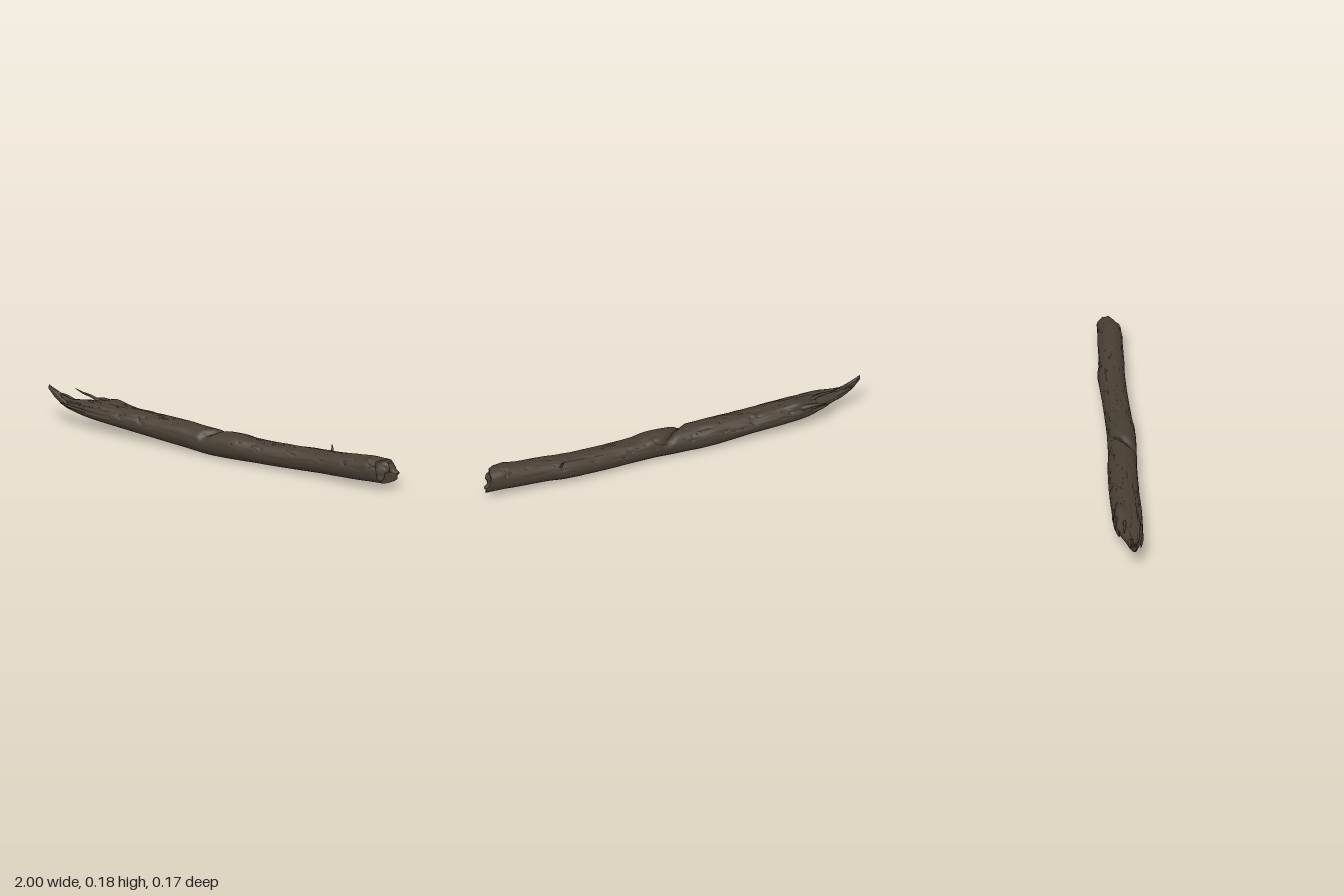
import * as THREE from 'three';

const SIDES = 64, STEPS = 300;
const bark = new THREE.MeshStandardMaterial({ color: 0x483e32 });
bark.name = 'bark brown';
const crack = new THREE.MeshStandardMaterial({ color: 0x2c261f });
crack.name = 'crack brown';
const wood = new THREE.MeshStandardMaterial({ color: 0x4a4034 });
wood.name = 'broken wood brown';

// Trunk stations: x, bottom, top, back, front
const STATIONS = [
  [-1.0, 0.165, 0.188, -0.004, 0.008],
  [-0.96, 0.125, 0.168, -0.012, 0.014],
  [-0.9, 0.092, 0.142, -0.022, 0.026],
  [-0.85, 0.082, 0.138, -0.034, 0.044],
  [-0.78, 0.066, 0.145, -0.056, 0.054],
  [-0.7, 0.055, 0.148, -0.08, 0.06],
  [-0.6, 0.046, 0.15, -0.084, 0.063],
  [-0.4, 0.029, 0.146, -0.08, 0.066],
  [-0.2, 0.014, 0.14, -0.073, 0.07],
  [-0.05, 0.006, 0.133, -0.06, 0.08],
  [0.1, 0.009, 0.139, -0.055, 0.084],
  [0.2, 0.011, 0.128, -0.055, 0.08],
  [0.4, 0.016, 0.131, -0.057, 0.07],
  [0.58, 0.023, 0.14, -0.062, 0.07],
  [0.66, 0.027, 0.146, -0.05, 0.074],
  [0.8, 0.033, 0.157, -0.045, 0.077],
  [0.91, 0.038, 0.166, -0.04, 0.08],
  [1.0, 0.04, 0.162, -0.038, 0.078],
];

const smooth = THREE.MathUtils.smoothstep;
const lerp = THREE.MathUtils.lerp;
const gauss = (d, w) => Math.exp(-(d * d) / (w * w));

function station(x) {
  let k = 0;
  while (k < STATIONS.length - 2 && x > STATIONS[k + 1][0]) k++;
  const at = (n) => STATIONS[Math.max(0, Math.min(STATIONS.length - 1, n))];
  const t = (x - at(k)[0]) / (at(k + 1)[0] - at(k)[0]);
  const span = at(k + 1)[0] - at(k)[0];
  const slope = (n, c) => (at(n + 1)[c] - at(n - 1)[c]) / (at(n + 1)[0] - at(n - 1)[0]);
  return [1, 2, 3, 4].map((c) => {
    const a = at(k)[c], b = at(k + 1)[c];
    const ma = slope(k, c) * span, mb = slope(k + 1, c) * span;
    const t2 = t * t, t3 = t2 * t;
    return (2 * t3 - 3 * t2 + 1) * a + (t3 - 2 * t2 + t) * ma + (3 * t2 - 2 * t3) * b + (t3 - t2) * mb;
  });
}

// Seeded value noise, 0 to 1
function hash(x, y, z) {
  const s = Math.sin(x * 127.1 + y * 311.7 + z * 74.7) * 43758.5453;
  return s - Math.floor(s);
}
function noise(x, y, z) {
  const i = [x, y, z].map(Math.floor);
  const [u, v, w] = [x - i[0], y - i[1], z - i[2]].map((f) => f * f * (3 - 2 * f));
  const edge = (b, c) => lerp(hash(i[0], i[1] + b, i[2] + c), hash(i[0] + 1, i[1] + b, i[2] + c), u);
  return lerp(lerp(edge(0, 0), edge(1, 0), v), lerp(edge(0, 1), edge(1, 1), v), w);
}

// One surface point of the trunk, with the depth of its crack
function trunkPoint(x, a) {
  const [bottom, top, back, front] = station(x);
  const s = Math.sin(a), c = Math.cos(a);
  const ry = (top - bottom) / 2, rz = (front - back) / 2;
  const cy = (top + bottom) / 2, cz = (front + back) / 2;
  const upper = smooth(s, -0.25, 0.45);
  const ragged = 1 - smooth(x, -0.95, -0.25);
  // long grain cracks, mostly on the weathered upper side
  const n = noise(x * 6 + 20, s * 6 + 20, c * 6 + 20);
  const line = Math.pow(1 - Math.abs(2 * n - 1), 14) * upper;
  const fine = noise(x * 14 + 50, s * 9 + 50, c * 9 + 50) - 0.5;
  const lump = noise(x * 5 + 9, s * 1.5 + 9, c * 1.5 + 9) - 0.5;
  let r = 1 + 0.06 * lump + fine * (0.02 + 0.09 * upper * (0.4 + ragged)) - line * (0.08 + 0.12 * ragged);
  // slanted break across the top and the raised bark behind the splintered end
  const notch = gauss(x + 0.02 + 0.06 * c, 0.022) * smooth(s, 0.1, 0.8);
  r -= 0.3 * notch;
  r += 0.38 * gauss(x + 0.65, 0.055) * gauss(a - 2.05, 0.38);
  r += 0.18 * gauss(x + 0.72, 0.07) * gauss(a - 2.7, 0.25);
  const y = Math.max(0, cy + s * ry * r), z = cz + c * rz * r;
  // slanted broken end
  const pull = 0.05 * smooth(z, -0.01, 0.08) + 0.026 * smooth(y, 0.085, 0.13) + 0.02 * (1 - smooth(y, 0.035, 0.06));
  const chip = 0.02 * noise(s * 4 + 5, c * 4 + 5, 3);
  return { p: [x - (pull + chip) * smooth(x, 0.8, 1), y, z], dark: line > 0.72 || notch > 0.85 };
}

function makeGeometry(positions, lists) {
  const g = new THREE.BufferGeometry();
  g.setAttribute('position', new THREE.Float32BufferAttribute(positions, 3));
  g.setIndex(lists.flat());
  let start = 0;
  lists.forEach((list, k) => {
    g.addGroup(start, list.length, k);
    start += list.length;
  });
  g.computeVertexNormals();
  return g;
}

function trunkGeometry() {
  const pos = [], dark = [], plain = [], deep = [];
  for (let i = 0; i <= STEPS; i++) {
    for (let j = 0; j < SIDES; j++) {
      const q = trunkPoint(-1 + (2 * i) / STEPS, (j / SIDES) * Math.PI * 2);
      pos.push(...q.p);
      dark.push(q.dark);
    }
  }
  for (let i = 0; i < STEPS; i++) {
    for (let j = 0; j < SIDES; j++) {
      const a = i * SIDES + j, b = i * SIDES + ((j + 1) % SIDES);
      (dark[a] ? deep : plain).push(a, a + SIDES, b, b, a + SIDES, b + SIDES);
    }
  }
  // close the pointed end
  pos.push(-1, 0.178, 0.002);
  for (let j = 0; j < SIDES; j++) plain.push(pos.length / 3 - 1, j, (j + 1) % SIDES);
  return makeGeometry(pos, [plain, deep]);
}

// Rough face across the broken end
function endGeometry() {
  const pos = [], index = [], rings = 10;
  for (let k = 0; k <= rings; k++) {
    const r = 1 - k / rings;
    for (let j = 0; j < SIDES; j++) {
      const [x, y, z] = trunkPoint(1, (j / SIDES) * Math.PI * 2).p;
      const py = lerp(0.1, y, r), pz = lerp(0.02, z, r);
      const rough = (noise(py * 45, pz * 45 + 30, 7) - 0.5) * 0.03 * smooth(1 - r, 0, 0.3);
      pos.push(lerp(0.962, x, r) + rough, py, pz);
    }
  }
  for (let k = 0; k < rings; k++) {
    for (let j = 0; j < SIDES; j++) {
      const a = k * SIDES + j, b = k * SIDES + ((j + 1) % SIDES);
      index.push(a, b, a + SIDES, b, b + SIDES, a + SIDES);
    }
  }
  for (let i = 0; i < index.length; i += 3) [index[i + 1], index[i + 2]] = [index[i + 2], index[i + 1]];
  return makeGeometry(pos, [index]);
}

// Tapered tube along a few points
function splinterGeometry(points, radius) {
  const curve = new THREE.CatmullRomCurve3(points.map((p) => new THREE.Vector3(...p)));
  const g = new THREE.TubeGeometry(curve, 14, radius, 7, false);
  const pos = g.attributes.position, v = new THREE.Vector3();
  for (let i = 0; i < pos.count; i++) {
    const t = Math.floor(i / 8) / 14;
    const c = curve.getPointAt(t);
    v.fromBufferAttribute(pos, i).sub(c).multiplyScalar(0.05 + 0.95 * Math.pow(1 - t, 0.6)).add(c);
    pos.setXYZ(i, v.x, v.y, v.z);
  }
  g.computeVertexNormals();
  return g;
}

export function createModel() {
  const group = new THREE.Group();
  const add = (name, geometry, material) => {
    const mesh = new THREE.Mesh(geometry, material);
    mesh.name = name;
    group.add(mesh);
  };
  add('trunk', trunkGeometry(), [bark, crack]);
  add('brokenEnd', endGeometry(), wood);
  // torn fibres at the pointed end and a twig stub on the back
  const splinters = [
    ['raisedSplinter', [[-0.72, 0.138, -0.03], [-0.78, 0.158, -0.034], [-0.83, 0.164, -0.04], [-0.88, 0.178, -0.044]], 0.009],
    ['backSplinter', [[-0.66, 0.13, -0.066], [-0.73, 0.138, -0.078], [-0.79, 0.132, -0.08]], 0.013],
    ['lowerBackSplinter', [[-0.7, 0.1, -0.068], [-0.76, 0.102, -0.066], [-0.81, 0.11, -0.062]], 0.012],
    ['frontSplinter', [[-0.76, 0.105, 0.045], [-0.84, 0.11, 0.044], [-0.92, 0.12, 0.034]], 0.012],
    ['tipSplinter', [[-0.86, 0.12, -0.015], [-0.92, 0.14, -0.022], [-0.96, 0.146, -0.022]], 0.012],
    ['twigStub', [[0.6, 0.115, -0.042], [0.597, 0.135, -0.052], [0.59, 0.152, -0.06]], 0.008],
  ];
  for (const [name, points, radius] of splinters) add(name, splinterGeometry(points, radius), bark);
  return group;
}
